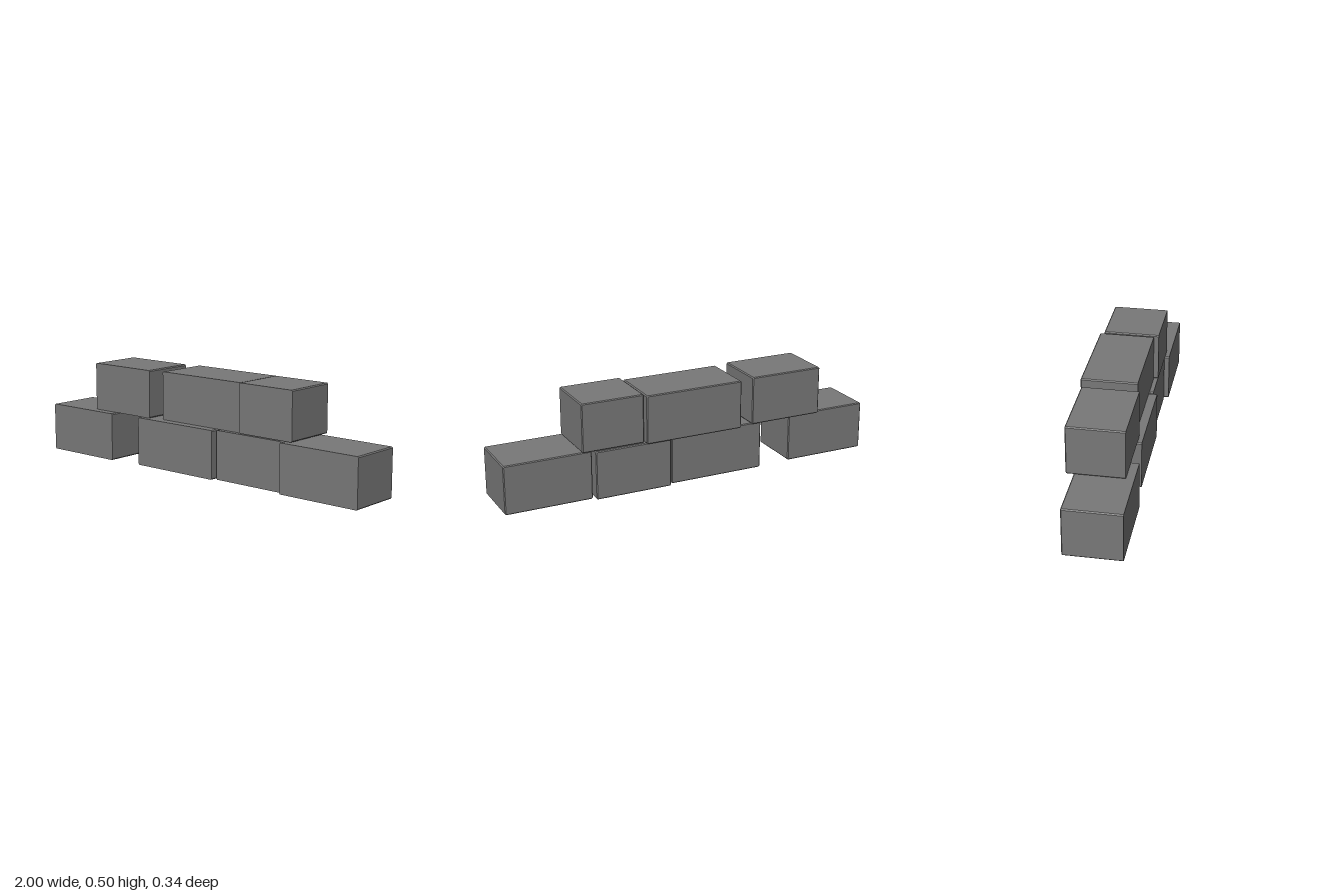
import * as THREE from 'three';

const BEVEL = 0.0045;

// Block with chamfered long edges and back, and a flat front face
function blockGeometry(w, h, d) {
  const x = w / 2 - BEVEL, y = h / 2 - BEVEL;
  const k = BEVEL * 0.6; // corner cut
  const shape = new THREE.Shape([
    [-x + k, -y], [x - k, -y], [x, -y + k], [x, y - k],
    [x - k, y], [-x + k, y], [-x, y - k], [-x, -y + k],
  ].map(([px, py]) => new THREE.Vector2(px, py)));
  const depth = d - BEVEL;
  const geo = new THREE.ExtrudeGeometry(shape, {
    depth, bevelEnabled: true, bevelSegments: 1, bevelSize: BEVEL, bevelThickness: BEVEL,
  });
  // Flatten the front bevel into the front plane
  const pos = geo.attributes.position;
  for (let i = 0; i < pos.count; i++) pos.setZ(i, Math.min(pos.getZ(i), depth));
  geo.translate(0, 0, BEVEL - d / 2);
  geo.computeVertexNormals();
  return geo;
}

export function createModel() {
  const group = new THREE.Group();
  group.name = 'stackedBlocks';
  const material = new THREE.MeshStandardMaterial({ color: 0x787878 });

  // name, x from, x to, y from, y to, z back, z front
  const blocks = [
    ['lowerBlock1', -1, -0.556, 0, 0.25, -0.114, 0.171],
    ['lowerBlock2', -0.38, 0.126, 0, 0.25, -0.13, 0.153],
    ['lowerBlock3', 0.138, 0.539, 0, 0.25, -0.151, 0.131],
    ['lowerBlock4', 0.551, 1, 0, 0.25, -0.129, 0.155],
    ['upperBlock1', -0.71, -0.318, 0.251, 0.5, -0.151, 0.131],
    ['upperBlock2', -0.243, 0.277, 0.251, 0.5, -0.171, 0.11],
    ['upperBlock3', 0.284, 0.608, 0.255, 0.504, -0.151, 0.134],
  ];
  for (const [name, x0, x1, y0, y1, z0, z1] of blocks) {
    const mesh = new THREE.Mesh(blockGeometry(x1 - x0, y1 - y0, z1 - z0), material);
    mesh.name = name;
    mesh.position.set((x0 + x1) / 2, (y0 + y1) / 2, (z0 + z1) / 2);
    group.add(mesh);
  }
  return group;
}
